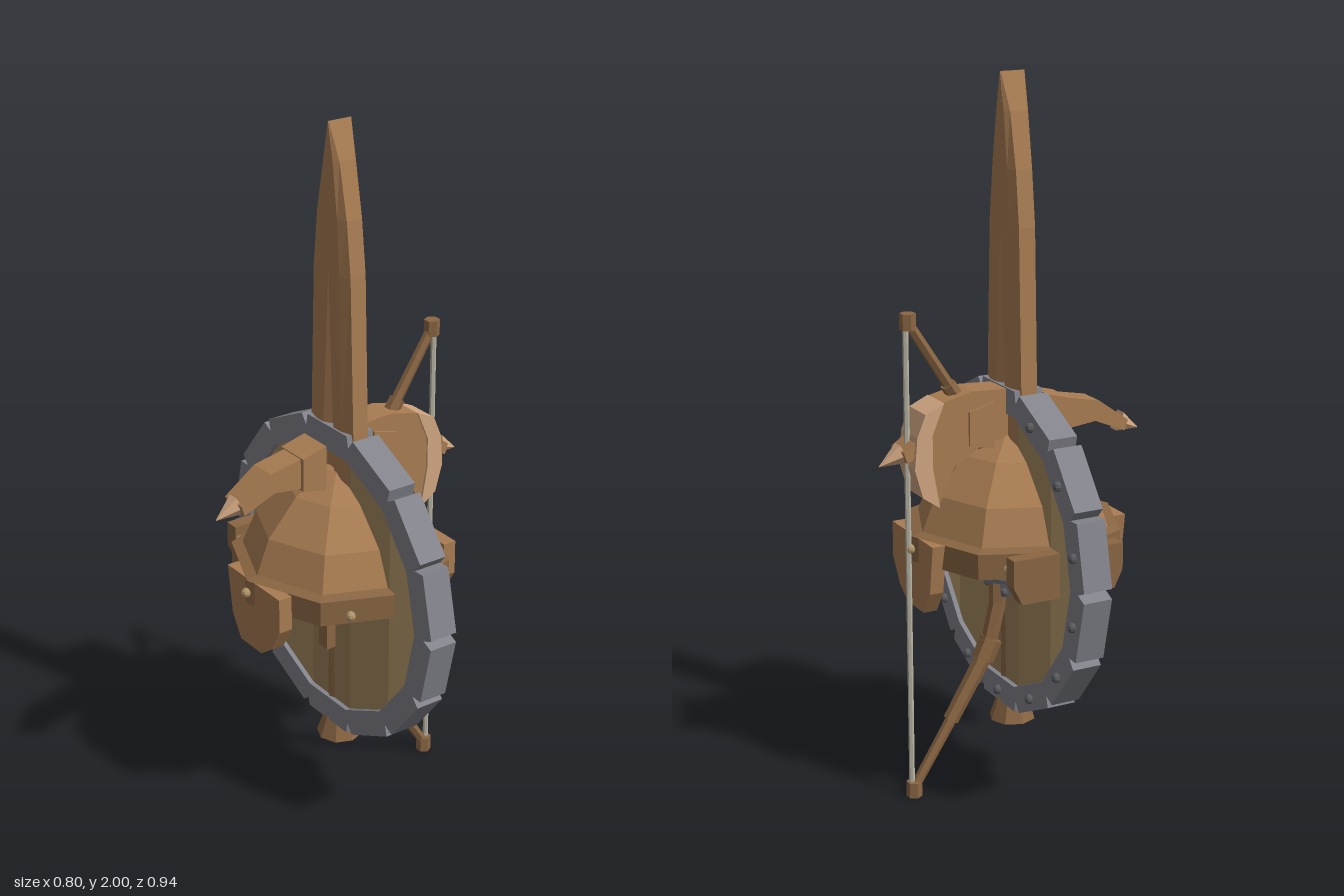
import * as THREE from 'three';

const BROWN = 0xa87c52, DARK = 0x8a6643, TAN = 0xd0a681, IRON = 0x82838b, STUD = 0x5a5b60, STRING = 0xb8b5a4;

function add(parent, name, geo, color, side = THREE.FrontSide) {
  const m = new THREE.Mesh(geo, new THREE.MeshStandardMaterial({ color, flatShading: true, side }));
  m.name = name;
  parent.add(m);
  return m;
}

// extruded polygon, centred on its own thickness
function plate(pts, depth) {
  const shape = new THREE.Shape(pts.map(p => new THREE.Vector2(p[0], p[1])));
  return new THREE.ExtrudeGeometry(shape, { depth, bevelEnabled: false }).translate(0, 0, -depth / 2);
}

// tapered rod between two points of the xy plane
function rod(parent, name, a, b, ra, rb, color, sides = 6) {
  const p = new THREE.Vector3(a[0], a[1], 0), q = new THREE.Vector3(b[0], b[1], 0);
  const d = q.clone().sub(p);
  const m = add(parent, name, new THREE.CylinderGeometry(rb, ra, d.length(), sides), color);
  m.position.copy(p).add(q).multiplyScalar(0.5);
  m.quaternion.setFromUnitVectors(new THREE.Vector3(0, 1, 0), d.normalize());
  return m;
}

function group(parent, name) {
  const g = new THREE.Group();
  g.name = name;
  parent.add(g);
  return g;
}

function stud(parent, name, x, y, z, r, color) {
  add(parent, name, new THREE.SphereGeometry(r, 8, 6), color).position.set(x, y, z);
}

// round shield facing +x
function shield(root) {
  const g = group(root, 'shield');
  g.position.y = 0.7;
  const n = 14, h = Math.PI / n;
  const polar = (r, a) => [r * Math.cos(a), r * Math.sin(a)];
  for (let i = 0; i < n; i++) {
    const a = (2 * i + 1) * h;
    const seg = plate([polar(0.4, a - h), polar(0.44, a - h), polar(0.472, a - h + 0.03), polar(0.472, a + h - 0.03),
      polar(0.44, a + h), polar(0.4, a + h)], 0.084).rotateY(Math.PI / 2);
    add(g, 'shieldRim', seg, IRON);
    stud(g, 'rimRivet', 0.046, 0.43 * Math.sin(a), -0.43 * Math.cos(a), 0.014, STUD);
  }
  // vertical planks trimmed to the circle
  const tones = [0xb89c6c, 0xa58a5e, 0x9a8058, 0xa58a5e, 0xb89c6c];
  for (let i = 0; i < 5; i++) {
    const top = [], bottom = [];
    for (let k = 0; k <= 4; k++) {
      const x = THREE.MathUtils.clamp(-0.45 + 0.18 * (i + k / 4), -0.41, 0.41);
      const y = Math.sqrt(0.412 ** 2 - x * x);
      bottom.push([x, -y]);
      top.unshift([x, y]);
    }
    add(g, 'shieldPlank', plate([...bottom, ...top], 0.056).rotateY(Math.PI / 2), tones[i]);
  }
  // boss with flange and rivets
  const boss = [[0.155, 0.02], [0.155, 0.045], [0.115, 0.05], [0.1, 0.085], [0.06, 0.125], [0, 0.14]];
  add(g, 'shieldBoss', new THREE.LatheGeometry(boss.map(p => new THREE.Vector2(...p)), 8).rotateZ(-Math.PI / 2),
    IRON, THREE.DoubleSide);
  for (let i = 0; i < 8; i++) {
    const a = (i + 0.5) * Math.PI / 4;
    stud(g, 'bossRivet', 0.05, 0.13 * Math.sin(a), 0.13 * Math.cos(a), 0.012, STUD);
  }
  add(g, 'shieldGrip', new THREE.BoxGeometry(0.03, 0.44, 0.04), DARK).position.x = -0.042;
}

// upright blade with shallow groove, lofted from rings of eight points
function sword(root) {
  const g = group(root, 'sword');
  const rings = [[0.8, 0.098, 0.016], [1.16, 0.097, 0.014], [1.6, 0.083, 0], [1.75, 0.066, 0], [1.9, 0.034, 0], [2, 0.001, 0]];
  const pos = [], idx = [];
  for (const [y, w, groove] of rings) {
    const c = 0.036 - groove, e = y > 1.95 ? 0.034 : 0.024;
    const ring = [[c, 0], [0.036, w * 0.25], [0.036, w * 0.6], [e, w], [-e, w], [-0.036, w * 0.6], [-0.036, w * 0.25],
      [-c, 0], [-0.036, -w * 0.25], [-0.036, -w * 0.6], [-e, -w], [e, -w], [0.036, -w * 0.6], [0.036, -w * 0.25]];
    for (const [x, z] of ring) pos.push(x, y, z);
  }
  const n = 14;
  for (let r = 0; r < rings.length - 1; r++) for (let i = 0; i < n; i++) {
    const a = r * n + i, b = r * n + (i + 1) % n;
    idx.push(a, a + n, b, b, a + n, b + n);
  }
  const geo = new THREE.BufferGeometry();
  geo.setAttribute('position', new THREE.Float32BufferAttribute(pos, 3));
  geo.setIndex(idx);
  geo.computeVertexNormals();
  add(g, 'blade', geo, BROWN, THREE.DoubleSide);
  rod(g, 'swordHandle', [0, 0.24], [0, 0.8], 0.035, 0.03, DARK, 8);
  rod(g, 'pommel', [0, 0.18], [0, 0.27], 0.066, 0.035, DARK, 8);
}

function helmet(root) {
  const g = group(root, 'helmet');
  const lathe = pts => new THREE.LatheGeometry(pts.map(p => new THREE.Vector2(...p)), 8);
  add(g, 'dome', lathe([[0.285, 0.72], [0.275, 0.775], [0.235, 0.875], [0.145, 0.975], [0.05, 1.035], [0, 1.05]]), BROWN, THREE.DoubleSide);
  add(g, 'browBand', lathe([[0.28, 0.7], [0.307, 0.7], [0.307, 0.77], [0.275, 0.778], [0.28, 0.7]]), DARK, THREE.DoubleSide);
  for (let i = 0; i < 6; i++) {
    const a = i * Math.PI / 3;
    stud(g, 'bandRivet', 0.311 * Math.cos(a), 0.735, 0.311 * Math.sin(a), 0.014, 0xb09468);
  }
  add(g, 'neckGuard', plate([[-0.165, 0.775], [-0.165, 0.7], [-0.14, 0.65], [0.14, 0.65], [0.165, 0.7], [0.165, 0.775]], 0.042), DARK)
    .position.z = -0.299;
  for (const s of [-1, 1]) {
    // cheek guards, outline given as (-z, y)
    const cheek = [[-0.142, 0.77], [-0.142, 0.67], [-0.1, 0.6], [-0.05, 0.565], [0.05, 0.565], [0.09, 0.63], [0.11, 0.77]];
    add(g, 'cheekGuard', plate(cheek, 0.04).rotateY(Math.PI / 2), BROWN).position.x = s * 0.278;
    // horns with collar and pointed tip
    const flip = pts => pts.map(([x, y]) => [s * x, y]);
    add(g, 'hornCollar', plate(flip([[0.08, 1.0], [0.155, 1.015], [0.155, 1.11], [0.08, 1.13]]), 0.104), BROWN);
    add(g, 'horn', plate(flip([[0.15, 1.02], [0.24, 1.03], [0.335, 0.99], [0.345, 1.02], [0.25, 1.088], [0.15, 1.108]]), 0.08), BROWN);
    rod(g, 'hornTip', [s * 0.333, 1.01], [s * 0.4, 0.98], 0.032, 0.001, TAN);
  }
}

// axe head crossing the top, cutting edge toward +x
function axe(root) {
  const g = group(root, 'axe');
  add(g, 'axeHead', plate([[-0.03, 1.02], [0.1, 1.02], [0.2, 0.96], [0.245, 0.86], [0.27, 0.96], [0.275, 1.05], [0.23, 1.145],
    [0.14, 1.165], [-0.03, 1.155]], 0.088), BROWN);
  add(g, 'axeEdge', plate([[0.245, 0.855], [0.295, 0.89], [0.318, 0.97], [0.31, 1.06], [0.285, 1.12], [0.23, 1.145],
    [0.265, 1.06], [0.265, 0.97]], 0.1), TAN);
}

// bow with mirrored limbs about its grip
function bow(root) {
  const g = group(root, 'bow');
  const mid = 0.695;
  rod(g, 'bowGrip', [0.045, 0.54], [0.045, 0.85], 0.024, 0.024, DARK);
  for (const s of [-1, 1]) {
    const P = (x, d) => [x, mid + s * d];
    rod(g, 'bowLimbRoot', P(0.04, 0.14), P(0.08, 0.3), 0.024, 0.022, DARK);
    rod(g, 'limbCollar', P(0.066, 0.265), P(0.093, 0.322), 0.032, 0.032, DARK);
    rod(g, 'bowLimb', P(0.08, 0.3), P(0.195, 0.487), 0.024, 0.022, DARK);
    rod(g, 'bowLimbEnd', P(0.19, 0.48), P(0.308, 0.665), 0.016, 0.014, DARK);
    rod(g, 'bowNock', P(0.31, 0.648), P(0.31, 0.693), 0.022, 0.022, DARK);
  }
  rod(g, 'bowString', [0.317, 0.03], [0.317, 1.36], 0.008, 0.008, STRING);
}

export function createModel() {
  const root = new THREE.Group();
  root.name = 'warGear';
  [shield, sword, helmet, axe, bow].forEach(build => build(root));
  return root;
}
